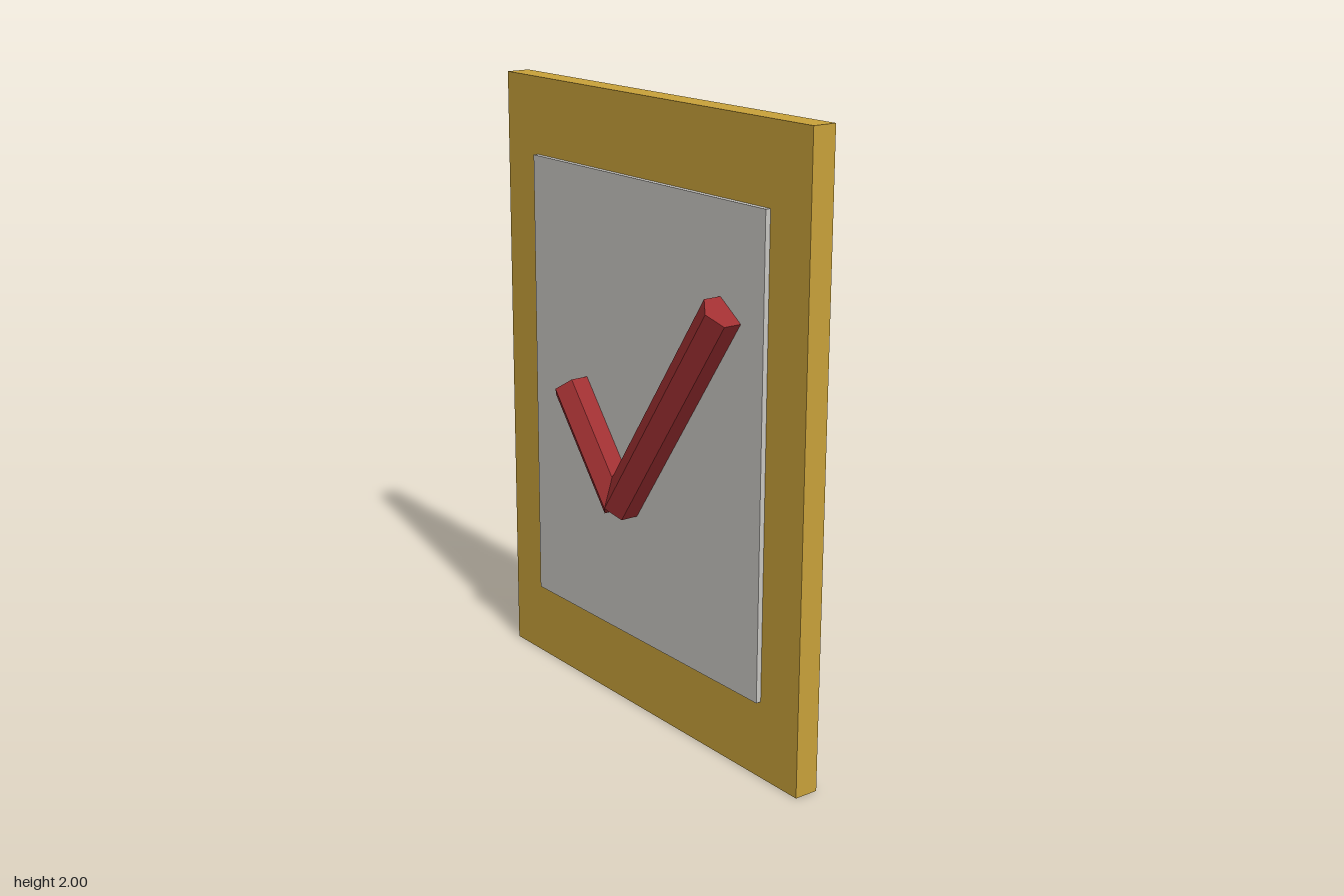
import * as THREE from 'three';

export function createModel() {
  const group = new THREE.Group();
  const material = (name, color) => {
    const m = new THREE.MeshStandardMaterial({ color });
    m.name = name;
    return m;
  };
  const gold = material('gold', 0xc9a23a);
  const paper = material('paper grey', 0xc9c7c3);
  const red = material('dark red', 0xa03032);
  red.flatShading = true;

  // Upright slab between two depths
  function slab(name, width, y0, y1, z0, z1, mat) {
    const mesh = new THREE.Mesh(new THREE.BoxGeometry(width, y1 - y0, z1 - z0), mat);
    mesh.position.set(0, (y0 + y1) / 2, (z0 + z1) / 2);
    mesh.name = name;
    group.add(mesh);
  }
  slab('board', 1.5, 0, 2, -0.095, -0.015, gold);
  slab('sheet', 1.16, 0.25, 1.75, -0.018, 0.002, paper);

  // Six-sided bar with one ridge facing forward, half sunk into the sheet
  const radius = 0.066;
  function bar(name, from, to) {
    const dx = to[0] - from[0], dy = to[1] - from[1];
    const mesh = new THREE.Mesh(
      new THREE.CylinderGeometry(radius, radius, Math.hypot(dx, dy), 6), red);
    mesh.position.set((from[0] + to[0]) / 2, (from[1] + to[1]) / 2, 0.095 - radius);
    mesh.rotation.z = Math.atan2(-dx, dy);
    mesh.name = name;
    group.add(mesh);
  }
  const corner = [-0.068, 0.703];
  bar('checkShortStroke', corner, [-0.335, 1.035]);
  bar('checkLongStroke', corner, [0.432, 1.433]);

  return group;
}
